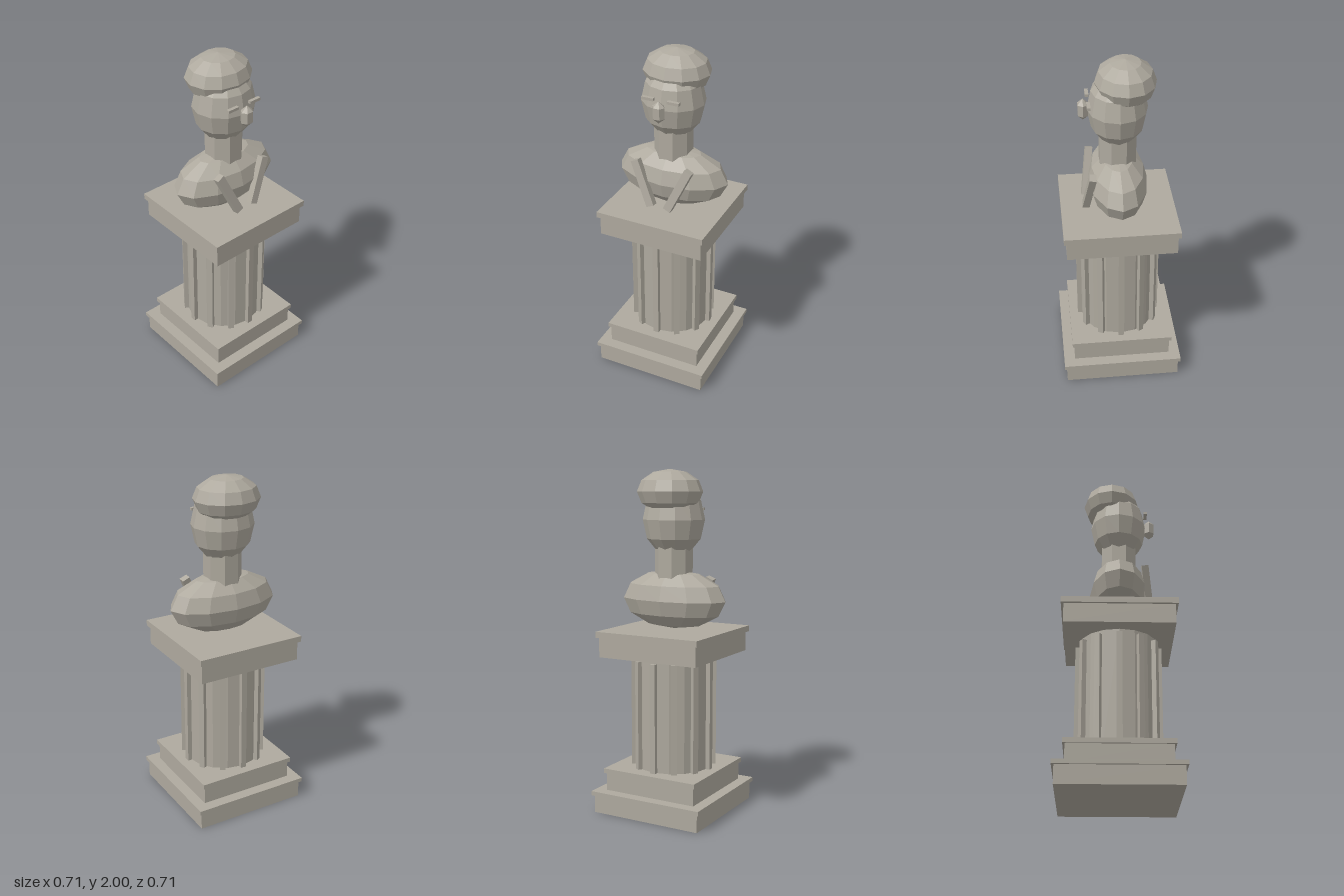
import * as THREE from 'three';

export function createModel() {
  const model = new THREE.Group();
  model.name = 'bustOnPedestal';
  const stone = new THREE.MeshStandardMaterial({ color: 0xaea99e, flatShading: true });
  stone.name = 'warm grey stone';

  const add = (name, geometry, x, y, z, parent = model) => {
    const mesh = new THREE.Mesh(geometry, stone);
    mesh.name = name;
    mesh.position.set(x, y, z);
    parent.add(mesh);
    return mesh;
  };

  // Square slab given by its half width and its bottom and top heights
  const slab = (name, half, y0, y1) =>
    add(name, new THREE.BoxGeometry(half * 2, y1 - y0, half * 2), 0, (y0 + y1) / 2, 0);

  // Faceted ellipsoid
  const ellipsoid = (name, rx, ry, rz, y, z, sides = 12, rings = 6) =>
    add(name, new THREE.SphereGeometry(1, sides, rings).scale(rx, ry, rz), 0, y, z);

  // Stepped base
  slab('lowerPlinth', 0.342, 0, 0.105);
  slab('lowerPlinthTrim', 0.356, 0.105, 0.13);
  slab('upperPlinth', 0.29, 0.13, 0.235);
  slab('upperPlinthTrim', 0.302, 0.235, 0.263);

  // Shaft with twelve raised ribs
  add('columnShaft', new THREE.CylinderGeometry(0.227, 0.227, 0.667, 16), 0, 0.5965, 0);
  const ribs = new THREE.Group();
  ribs.name = 'columnRibs';
  model.add(ribs);
  for (let i = 0; i < 12; i++) {
    const a = (i / 12) * Math.PI * 2;
    const rib = add('columnRib', new THREE.BoxGeometry(0.034, 0.642, 0.04),
      Math.sin(a) * 0.23, 0.584, Math.cos(a) * 0.23, ribs);
    rib.rotation.y = a;
  }

  // Capital
  slab('capital', 0.315, 0.93, 1.045);
  slab('capitalTrim', 0.33, 1.045, 1.08);

  // Bust
  ellipsoid('shoulders', 0.336, 0.172, 0.17, 1.255, 0);
  const neck = add('neck', new THREE.CylinderGeometry(0.11, 0.11, 0.24, 8), 0, 1.46, 0);
  neck.rotation.y = Math.PI / 8;
  ellipsoid('head', 0.183, 0.22, 0.168, 1.715, 0);
  ellipsoid('hair', 0.195, 0.127, 0.169, 1.873, -0.044);
  ellipsoid('nose', 0.043, 0.065, 0.037, 1.715, 0.188, 6, 3);

  // Brows and collar lapels, mirrored
  for (const s of [-1, 1]) {
    const side = s > 0 ? 'left' : 'right';
    add(side + 'Brow', new THREE.BoxGeometry(0.07, 0.016, 0.02), s * 0.076, 1.772, 0.162);
    const lapel = add(side + 'Lapel', new THREE.BoxGeometry(0.047, 0.278, 0.04), s * 0.108, 1.247, 0.168);
    lapel.rotation.set(-0.14, 0, -s * 0.42);
  }
  return model;
}
